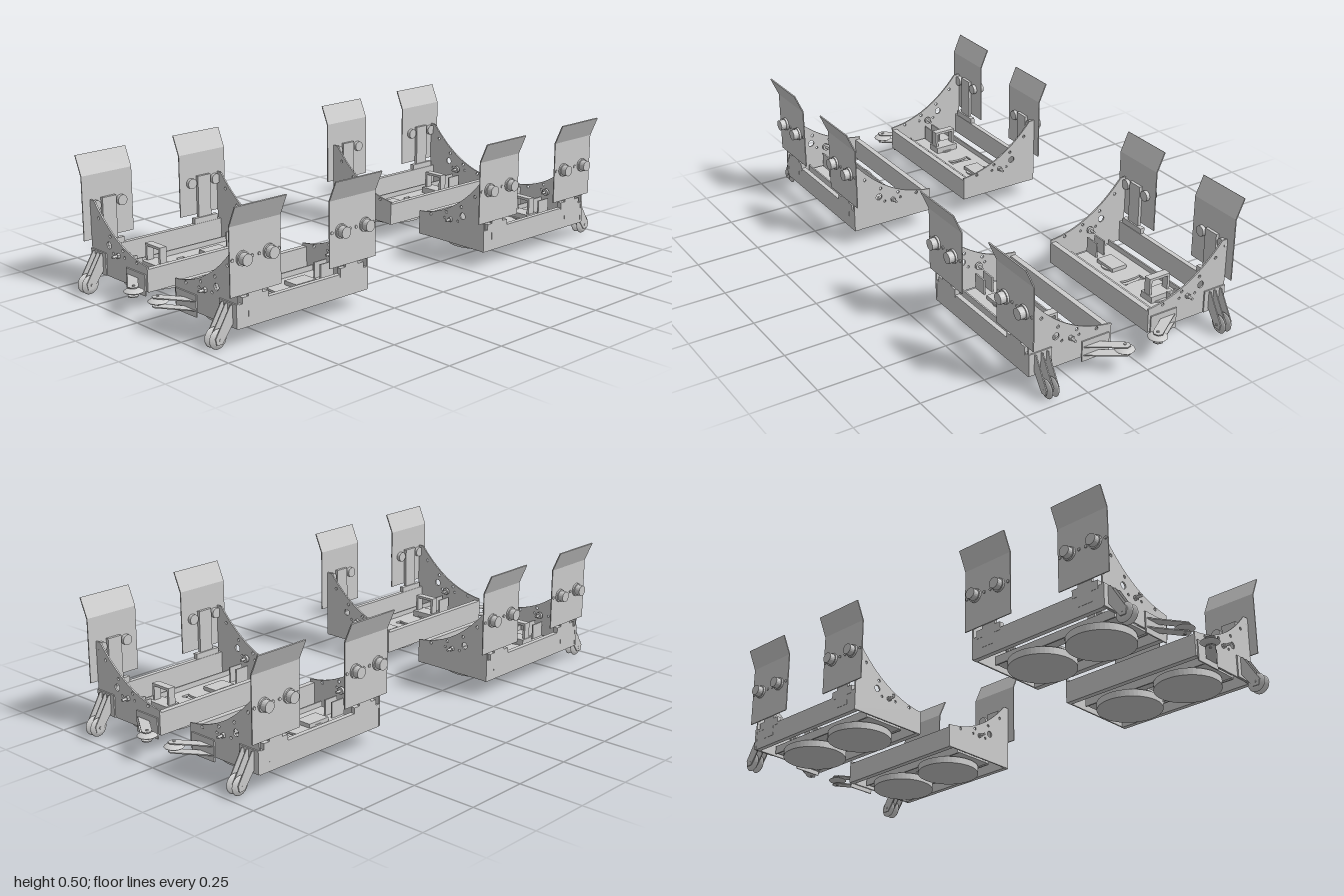
import * as THREE from 'three';

const grey = new THREE.MeshStandardMaterial({ color: 0xcccccc, side: THREE.DoubleSide, flatShading: true });

function add(parent, name, geometry, x = 0, y = 0, z = 0) {
  const mesh = new THREE.Mesh(geometry, grey);
  mesh.name = name;
  mesh.position.set(x, y, z);
  parent.add(mesh);
  return mesh;
}

// Box given by its min and max along each axis
function box(parent, name, x0, x1, y0, y1, z0, z1) {
  return add(parent, name, new THREE.BoxGeometry(x1 - x0, y1 - y0, z1 - z0),
    (x0 + x1) / 2, (y0 + y1) / 2, (z0 + z1) / 2);
}

// Cylinder along a chosen axis
function rod(parent, name, axis, r, length, x, y, z, sides = 20) {
  const mesh = add(parent, name, new THREE.CylinderGeometry(r, r, length, sides), x, y, z);
  if (axis === 'x') mesh.rotation.z = Math.PI / 2;
  if (axis === 'z') mesh.rotation.x = Math.PI / 2;
  return mesh;
}

function hole(shape, x, y, r) {
  shape.holes.push(new THREE.Path().absarc(x, y, r, 0, Math.PI * 2, true));
}

function extrude(shape, depth) {
  return new THREE.ExtrudeGeometry(shape, { depth, bevelEnabled: false, curveSegments: 16 });
}

// End plate with its concave top edge and drilled holes
function endPlateGeometry() {
  const s = new THREE.Shape();
  s.moveTo(0.08, 0.067);
  s.lineTo(0.42, 0.067);
  s.lineTo(0.42, 0.335);
  s.lineTo(0.397, 0.335);
  s.quadraticCurveTo(0.26, 0.175, 0.08, 0.16);
  s.closePath();
  [[0.37, 0.275, 0.006], [0.302, 0.221, 0.006], [0.31, 0.186, 0.013], [0.225, 0.185, 0.006],
    [0.142, 0.16, 0.006], [0.285, 0.161, 0.005], [0.215, 0.161, 0.005]].forEach(h => hole(s, ...h));
  return extrude(s, 0.006);
}

// Lens-shaped roller, axis along y
function rollerGeometry() {
  const pts = [[0, -0.01], [0.012, -0.0095], [0.024, -0.007], [0.033, -0.003], [0.036, 0],
    [0.033, 0.003], [0.024, 0.007], [0.012, 0.0095], [0, 0.01]];
  return new THREE.LatheGeometry(pts.map(p => new THREE.Vector2(...p)), 28);
}

// Central tray with a bow-tie slot
function tray(parent) {
  const s = new THREE.Shape();
  s.moveTo(0.155, -0.87);
  s.lineTo(0.335, -0.87);
  s.lineTo(0.335, -0.333);
  s.lineTo(0.155, -0.333);
  s.closePath();
  const slot = [[0.198, -0.582], [0.222, -0.587], [0.262, -0.587], [0.288, -0.582],
    [0.288, -0.617], [0.262, -0.609], [0.222, -0.609], [0.198, -0.617]];
  s.holes.push(new THREE.Path(slot.map(p => new THREE.Vector2(...p))));
  const g = extrude(s, 0.008);
  g.rotateX(-Math.PI / 2);
  add(parent, 'trayPlate', g, 0, 0.072, 0);
  for (const x of [0.155, 0.329]) box(parent, 'traySide', x, x + 0.006, 0.067, 0.1, 0.333, 0.87);
}

// Bent upright flap with its two knobs and inner strut
function flap(parent, zc) {
  const s = new THREE.Shape();
  [[0.42, 0.183], [0.424, 0.183], [0.424, 0.424], [0.457, 0.498], [0.453, 0.5], [0.42, 0.426]]
    .forEach((p, i) => (i ? s.lineTo(...p) : s.moveTo(...p)));
  const g = extrude(s, 0.218);
  add(parent, 'flap', g, 0, 0, zc - 0.109);
  for (const side of [-1, 1]) {
    const z = zc + side * 0.057;
    rod(parent, 'knobFlange', 'x', 0.026, 0.008, 0.428, 0.31, z);
    rod(parent, 'knob', 'x', 0.021, 0.034, 0.437, 0.31, z);
    rod(parent, 'knobBack', 'x', 0.02, 0.014, 0.413, 0.31, z);
    for (const d of [-0.042, 0.042]) rod(parent, 'rivet', 'x', 0.006, 0.007, 0.424, 0.31, z + d, 10);
  }
  box(parent, 'flapStrut', 0.408, 0.42, 0.1, 0.335, zc - 0.03, zc + 0.03);
  box(parent, 'strutFoot', 0.402, 0.42, 0.14, 0.172, zc - 0.055, zc + 0.055);
}

// Pair of upright rollers in a three-pronged fork
function rollerFork(parent) {
  const fork = new THREE.Group();
  fork.name = 'uprightRollerFork';
  parent.add(fork);
  box(fork, 'forkPlate', 0.328, 0.42, 0.068, 0.153, 0.893, 0.898);
  const s = new THREE.Shape();
  [[-0.895, 0.148], [-0.907, 0.148], [-0.97, 0.045], [-0.965, 0.022], [-0.942, 0.022], [-0.895, 0.085]]
    .forEach((p, i) => (i ? s.lineTo(...p) : s.moveTo(...p)));
  for (const x of [0.347, 0.369, 0.395]) {
    const g = extrude(s, 0.004);
    g.rotateY(Math.PI / 2);
    add(fork, 'prong', g, x, 0, 0);
  }
  for (const x of [0.358, 0.384]) {
    add(fork, 'roller', rollerGeometry(), x, 0.038, 0.95).rotation.z = Math.PI / 2;
  }
  rod(fork, 'axle', 'x', 0.005, 0.056, 0.372, 0.038, 0.95, 10);
}

// Flat roller carried on a slanted arm
function rollerArm(parent) {
  const arm = new THREE.Group();
  arm.name = 'flatRollerArm';
  parent.add(arm);
  box(arm, 'armPlate', 0.09, 0.203, 0.05, 0.13, 0.893, 0.898);
  const s = new THREE.Shape();
  [[0.2, -0.896], [0.075, -0.981], [0.058, -0.977], [0.052, -0.96], [0.062, -0.945], [0.135, -0.896]]
    .forEach((p, i) => (i ? s.lineTo(...p) : s.moveTo(...p)));
  for (const y of [0.071, 0.104]) {
    const g = extrude(s, 0.004);
    g.rotateX(-Math.PI / 2);
    add(arm, 'armBlade', g, 0, y, 0);
  }
  add(arm, 'roller', rollerGeometry(), 0.071, 0.09, 0.96);
  rod(arm, 'axle', 'y', 0.005, 0.044, 0.071, 0.09, 0.96, 10);
}

function carriage() {
  const c = new THREE.Group();
  const plate = endPlateGeometry();
  for (const z of [0.304, 0.887]) add(c, 'endPlate', plate, 0, 0, z);
  box(c, 'innerRail', 0.08, 0.102, 0.065, 0.15, 0.306, 0.89);
  box(c, 'outerRail', 0.4, 0.419, 0.065, 0.15, 0.306, 0.89);
  tray(c);

  // Large round pads below the tray
  for (const z of [0.473, 0.737]) {
    rod(c, 'roundPad', 'y', 0.123, 0.027, 0.242, 0.0535, z, 48);
    rod(c, 'padHub', 'y', 0.04, 0.02, 0.242, 0.075, z, 24);
  }

  // Blocks and the upright frame on the tray
  box(c, 'wideBlock', 0.197, 0.293, 0.08, 0.105, 0.705, 0.766);
  box(c, 'longBlock', 0.213, 0.278, 0.08, 0.095, 0.42, 0.515);
  for (const x of [0.2, 0.28]) box(c, 'framePost', x, x + 0.01, 0.1, 0.17, 0.72, 0.75);
  box(c, 'frameTop', 0.2, 0.29, 0.16, 0.17, 0.72, 0.75);

  // Bolts through the end plates, each held by a bracket
  for (const [z, inward] of [[0.307, 1], [0.89, -1]]) {
    rod(c, 'bolt', 'z', 0.005, 0.075, 0.25, 0.161, z + inward * 0.005, 12);
    rod(c, 'boltNut', 'z', 0.01, 0.012, 0.25, 0.161, z - inward * 0.007, 6);
    rod(c, 'boltCollar', 'z', 0.014, 0.01, 0.25, 0.161, z + inward * 0.018, 16);
    const zc = z + inward * 0.055;
    for (const x of [0.23, 0.264]) box(c, 'boltBracket', x, x + 0.006, 0.08, 0.14, zc - 0.03, zc + 0.03);
  }

  for (const z of [0.381, 0.817]) flap(c, z);
  rollerFork(c);
  rollerArm(c);
  return c;
}

export function createModel() {
  const model = new THREE.Group();
  model.name = 'fourCarriages';
  // One carriage mirrored to each corner
  for (const sx of [1, -1]) {
    for (const sz of [1, -1]) {
      const c = carriage();
      c.name = (sz > 0 ? 'front' : 'back') + (sx > 0 ? 'Left' : 'Right') + 'Carriage';
      c.scale.set(sx, 1, sz);
      model.add(c);
    }
  }
  return model;
}
